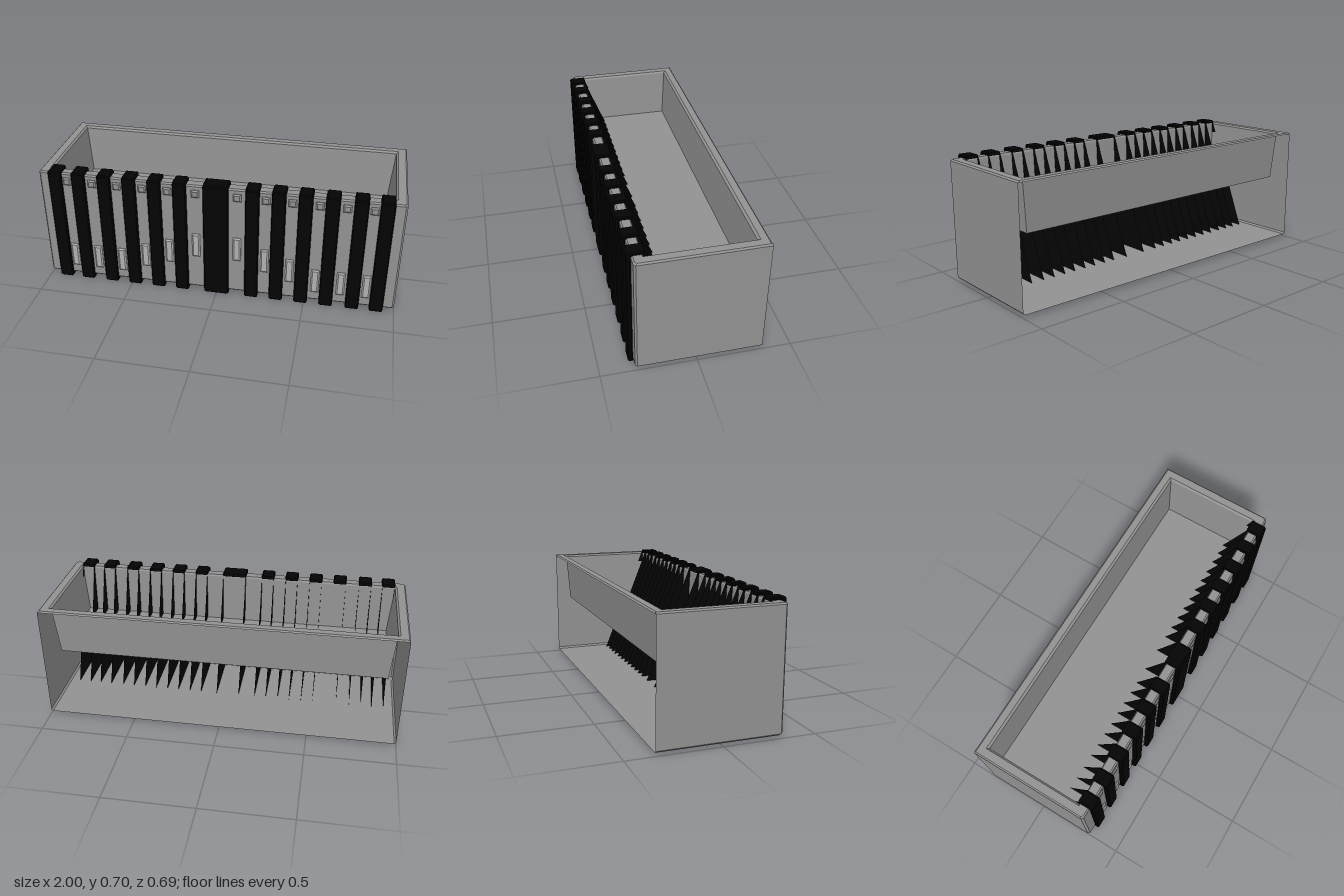
import * as THREE from 'three';

const paint = (color) => new THREE.MeshStandardMaterial({ color, flatShading: true, side: THREE.DoubleSide });
const grey = paint(0x929292);
const lightGrey = paint(0xb0b0b0);
const black = paint(0x040404);

const BACK = -0.345, FRONT = 0.32, BOTTOM = 0.015, TOP = 0.68;

function add(parent, name, geometry, material) {
  const mesh = new THREE.Mesh(geometry, material);
  mesh.name = name;
  parent.add(mesh);
}

function polygon(points) {
  return new THREE.Shape(points.map(([x, y]) => new THREE.Vector2(x, y)));
}

// Join matching cross-sections (lists of [x, y, z]) with flat quads.
function loft(rings, closed) {
  const pos = [];
  for (let r = 0; r < rings.length - 1; r++) {
    const a = rings[r], b = rings[r + 1], n = a.length;
    for (let i = 0; i < (closed ? n : n - 1); i++) {
      const j = (i + 1) % n;
      pos.push(...a[i], ...a[j], ...b[j], ...a[i], ...b[j], ...b[i]);
    }
  }
  const g = new THREE.BufferGeometry();
  g.setAttribute('position', new THREE.Float32BufferAttribute(pos, 3));
  g.computeVertexNormals();
  return g;
}

// Horizontal sheet from [x, z] points, with an optional hole.
function sheet(points, y, hole) {
  const s = polygon(points);
  if (hole) s.holes.push(polygon(hole));
  return new THREE.ShapeGeometry(s).rotateX(Math.PI / 2).translate(0, y, 0);
}

const rect = (hx, z0, z1) => [[-hx, z0], [-hx, z1], [hx, z1], [hx, z0]];
const lift = (points, y) => points.map(([x, z]) => [x, y, z]);

// Outline of the casing: open at the back, chamfered at the front corners.
function outline(inset, back = BACK) {
  const x = 1 - inset, z = FRONT - inset, c = 0.01;
  return [[-x, back], [-x, z - c], [-x + c, z], [x - c, z], [x, z - c], [x, back]];
}

// Plate with bevelled edges standing out of the front wall.
function raisedPlate(w, h, x, y) {
  const b = 0.008, a = w / 2 - b, k = h / 2 - b;
  const s = polygon([[-a, -k], [a, -k], [a, k], [-a, k]]);
  return new THREE.ExtrudeGeometry(s, { depth: 0.006, bevelThickness: 0.007, bevelSize: b, bevelSegments: 1 })
    .translate(x, y, FRONT - 0.003);
}

// C-shaped strap wrapping the top, front and underside.
function strap(width, x) {
  const group = new THREE.Group();
  group.name = 'strap';
  group.position.x = x;
  const b = 0.006;
  const profile = polygon([
    [0.26, 0.69], [0.26, 0.684], [0.327, 0.684], [0.327, 0.008], [-0.012, 0.008],
    [-0.012, 0.006], [0.335, 0.006], [0.339, 0.01], [0.339, 0.686], [0.335, 0.69],
  ]);
  const body = new THREE.ExtrudeGeometry(profile, {
    depth: width - 2 * b, bevelThickness: b, bevelSize: b, bevelSegments: 1,
  }).translate(0, 0, -width / 2 + b).rotateY(-Math.PI / 2);
  add(group, 'strapBand', body, black);
  // Thin side webs behind the front wall
  const web = polygon([[0.255, 0.685], [0.325, 0.685], [0.325, 0.008], [-0.018, 0.008]]);
  for (const side of [-1, 1]) {
    const g = new THREE.ShapeGeometry(web).rotateY(-Math.PI / 2).translate(side * (width / 2 - 0.003), 0, 0);
    add(group, 'strapWeb', g, black);
  }
  return group;
}

export function createModel() {
  const model = new THREE.Group();
  model.name = 'ribbedPlanter';

  // Casing: chamfered front and sides, floor, top rim
  add(model, 'casingWalls', loft([
    lift(outline(0.01), BOTTOM), lift(outline(0), 0.025),
    lift(outline(0), 0.672), lift(outline(0.008), TOP),
  ], false), grey);
  add(model, 'casingFloor', sheet(outline(0.01), BOTTOM), grey);
  const opening = rect(0.95, -0.3, 0.268);
  add(model, 'topRim', sheet(outline(0.008, BACK + 0.008), TOP, opening), grey);
  add(model, 'rimBackEdge', loft([
    [[-1, 0.672, BACK], [1, 0.672, BACK]],
    [[-0.992, TOP, BACK + 0.008], [0.992, TOP, BACK + 0.008]],
  ], false), grey);

  // Tapered tray sunk into the top
  const trayBase = rect(0.917, -0.272, 0.25);
  add(model, 'trayWalls', loft([
    lift(opening, TOP), lift(rect(0.94, -0.288, 0.262), 0.67), lift(trayBase, 0.395),
  ], true), grey);
  add(model, 'trayFloor', sheet(trayBase, 0.395), grey);

  // Straps: a wide one in the centre, six on each side
  model.add(strap(0.14, 0));
  for (const x of [0.199, 0.34, 0.481, 0.622, 0.768, 0.901]) {
    model.add(strap(0.075, x), strap(0.075, -x));
  }

  // Studs and bars in the gaps, [x, bar centre height]
  const gaps = [[0.115, 0.302], [0.27, 0.245], [0.411, 0.198], [0.555, 0.148], [0.697, 0.148], [0.838, 0.148]];
  for (const [x, y] of gaps) {
    for (const side of [-1, 1]) {
      add(model, 'frontStud', raisedPlate(0.045, 0.045, side * x, 0.63), grey);
      add(model, 'frontBar', raisedPlate(0.045, 0.148, side * x, y), lightGrey);
    }
  }
  return model;
}
